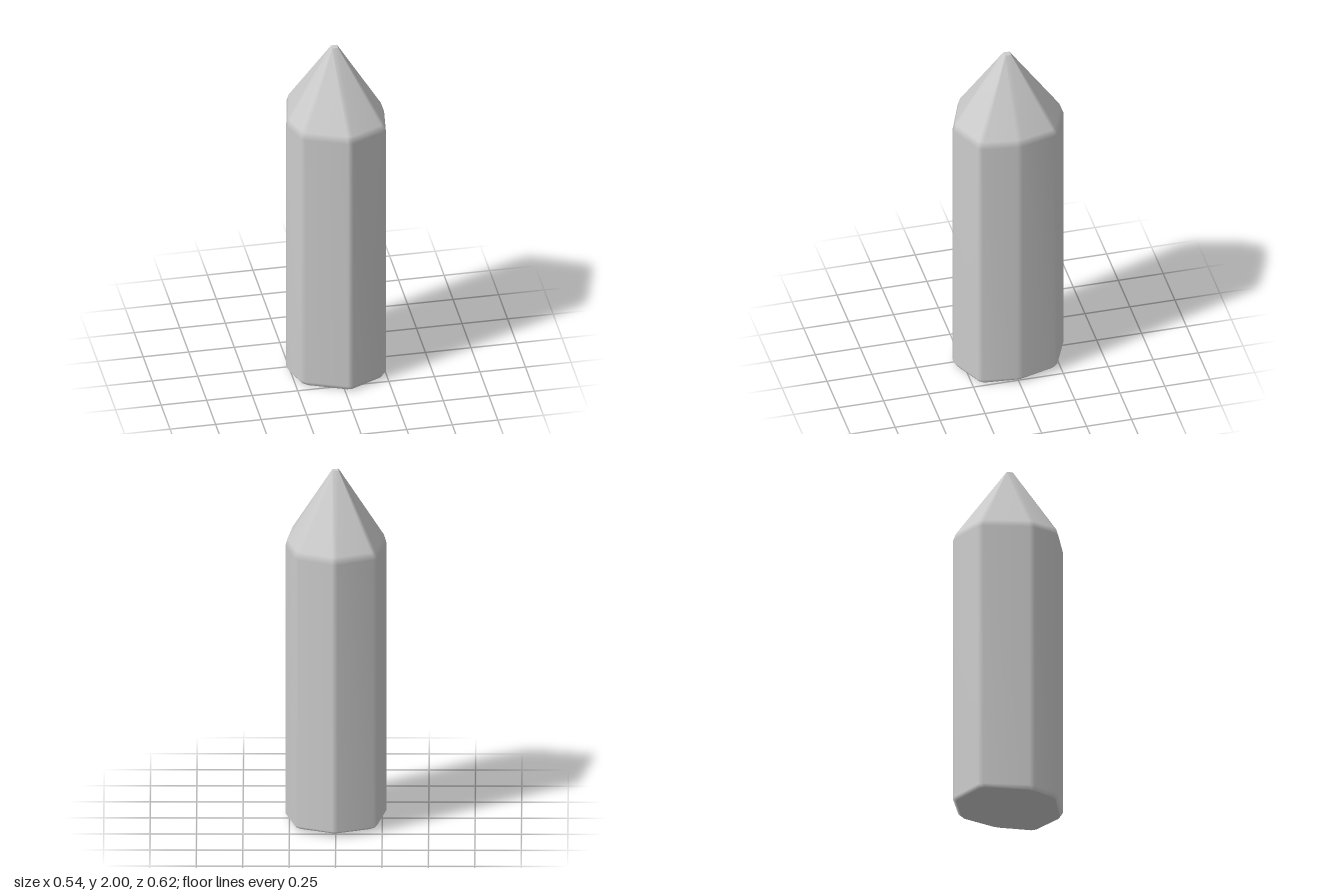
import * as THREE from 'three';

// Chamfered eight-sided outline [x, z], two points per corner
const OUTLINE = [
  [-0.01, -0.31], [0.02, -0.31], [0.2, -0.23], [0.222, -0.207],
  [0.27, -0.02], [0.271, 0.01], [0.244, 0.195], [0.225, 0.22],
  [0.045, 0.305], [0.015, 0.305], [-0.2, 0.22], [-0.224, 0.197],
  [-0.27, 0.07], [-0.272, 0.04], [-0.222, -0.205], [-0.2, -0.23],
];
// Small flat tip: four corners, and the corner each outline point runs to
const TIP = [[-0.015, -0.018], [0.018, -0.02], [0.018, 0.012], [-0.015, 0.015]];
const TIP_CORNER = [0, 1, 1, 1, 1, 2, 2, 2, 2, 3, 3, 3, 3, 0, 0, 0];

const ring = (scale, height) =>
  OUTLINE.map(([x, z]) => [x * scale, height(z), z * scale]);

// Skins a stack of rings, closing the first and last with flat caps
function loft(rings) {
  const n = OUTLINE.length;
  const positions = rings.flat();
  const index = [];
  for (let r = 0; r < rings.length - 1; r++) {
    for (let i = 0; i < n; i++) {
      const j = (i + 1) % n;
      const a = r * n + i, b = r * n + j;
      index.push(a, a + n, b + n, a, b + n, b);
    }
  }
  // Caps own their vertices so their rims stay sharp
  const cap = (points, up) => {
    const s = positions.length;
    positions.push(...points);
    for (let i = 1; i < points.length - 1; i++) {
      index.push(s, s + (up ? i + 1 : i), s + (up ? i : i + 1));
    }
  };
  cap(rings[0], false);
  cap(TIP.map(([x, z]) => [x, 2, z]), true);
  const geometry = new THREE.BufferGeometry();
  geometry.setAttribute('position', new THREE.Float32BufferAttribute(positions.flat(), 3));
  geometry.setIndex(index);
  geometry.computeVertexNormals(); // area-weighted: broad facets, soft bevels
  return geometry;
}

export function createModel() {
  const group = new THREE.Group();
  group.name = 'crystal';
  const geometry = loft([
    ring(0.94, (z) => 0.01 - z * 0.033),  // slightly tilted base
    ring(1, (z) => 0.032 - z * 0.01),     // base bevel
    ring(1, () => 1.565),                 // shoulder
    ring(0.955, () => 1.605),             // shoulder bevel
    TIP_CORNER.map((c) => [TIP[c][0], 2, TIP[c][1]]),
  ]);
  const crystal = new THREE.Mesh(geometry, new THREE.MeshStandardMaterial({ color: 0xcccccc }));
  crystal.name = 'pointedShaft';
  group.add(crystal);
  return group;
}
